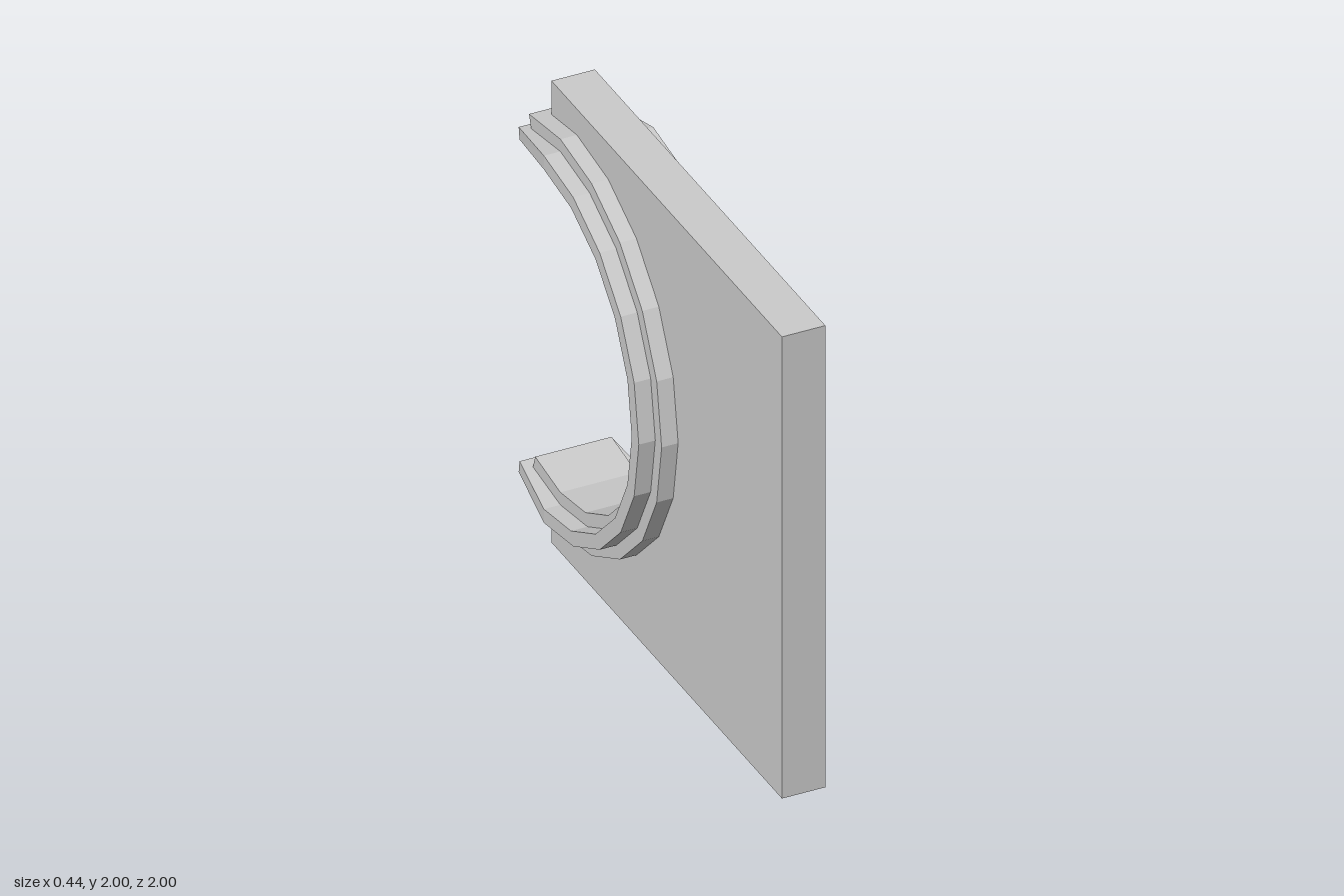
import * as THREE from 'three';

const CZ = -0.717, CY = 1.04, STEP = Math.PI / 10, N = 6;

// point [z, y] on the 20-sided opening at station i (-6..6)
const arc = (r, i) => [CZ + r * Math.cos(i * STEP), CY + r * Math.sin(i * STEP)];

// closed band of rectangular section swept round the opening;
// tip optionally replaces the two end sections
function band(rIn, rOut, halfWidth, tip) {
  const sections = [];
  for (let i = -N; i <= N; i++) {
    let a = arc(rIn, i), b = arc(rOut, i), w = halfWidth;
    if (tip && Math.abs(i) === N) {
      const s = Math.sign(i);
      a = [tip.inner[0], CY + s * tip.inner[1]];
      b = [tip.outer[0], CY + s * tip.outer[1]];
      w = tip.halfWidth;
    }
    sections.push([[-w, a[1], a[0]], [w, a[1], a[0]], [w, b[1], b[0]], [-w, b[1], b[0]]]);
  }
  const pos = [];
  const quad = (a, b, c, d) => pos.push(...a, ...b, ...c, ...a, ...c, ...d);
  for (let i = 0; i < sections.length - 1; i++) {
    const p = sections[i], q = sections[i + 1];
    for (let k = 0; k < 4; k++) {
      const n = (k + 1) % 4;
      quad(p[k], p[n], q[n], q[k]);
    }
  }
  const first = sections[0], last = sections[sections.length - 1];
  quad(first[3], first[2], first[1], first[0]);
  quad(last[0], last[1], last[2], last[3]);
  const g = new THREE.BufferGeometry();
  g.setAttribute('position', new THREE.Float32BufferAttribute(pos, 3));
  g.computeVertexNormals();
  return g;
}

export function createModel() {
  const group = new THREE.Group();
  group.name = 'archedWallSegment';
  const material = new THREE.MeshStandardMaterial({ color: 0xcccccc, flatShading: true, side: THREE.DoubleSide });
  const add = (name, geometry) => {
    const mesh = new THREE.Mesh(geometry, material);
    mesh.name = name;
    group.add(mesh);
  };

  // wall slab with the round opening cut into its back edge
  const back = -0.93, rWall = 0.765, lip = 0.731;
  const outline = [[back, 0], [1, 0], [1, 2], [back, 2], [back, CY + lip]];
  for (let i = N - 1; i > -N; i--) outline.push(arc(rWall, i));
  outline.push([back, CY - lip]);
  const shape = new THREE.Shape(outline.map(([z, y]) => new THREE.Vector2(z, y)));
  const wall = new THREE.ExtrudeGeometry(shape, { depth: 0.176, bevelEnabled: false });
  wall.translate(0, 0, -0.088);
  wall.rotateY(-Math.PI / 2);
  add('wall', wall);

  // opening frame, and the wider moulding around its middle
  add('openingFrame', band(0.682, 0.848, 0.155));
  add('frameMoulding', band(0.736, 0.795, 0.222, {
    inner: [-0.993, 0.697], outer: [-1, 0.747], halfWidth: 0.187,
  }));
  return group;
}
